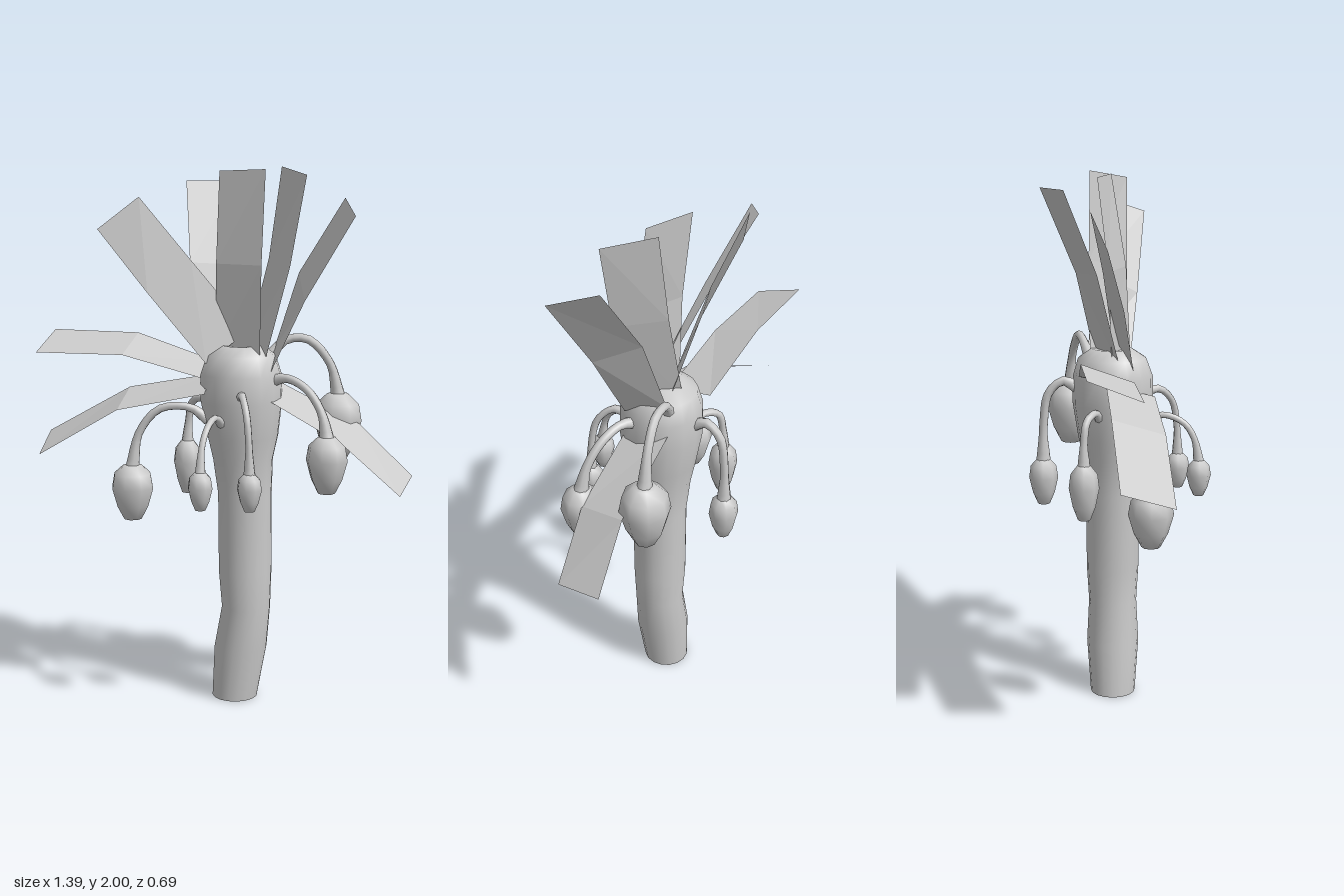
import * as THREE from 'three';
import { mergeVertices } from 'three/addons/utils/BufferGeometryUtils.js';

const grey = new THREE.MeshStandardMaterial({ color: 0xcccccc });
const thin = new THREE.MeshStandardMaterial({ color: 0xcccccc, side: THREE.DoubleSide, flatShading: true });
const v = (p) => new THREE.Vector3(...p);

function add(parent, name, geometry, material = grey) {
  const mesh = new THREE.Mesh(geometry, material);
  mesh.name = name;
  parent.add(mesh);
  return mesh;
}

// Weld the seam and smooth the normals
function smooth(geometry) {
  geometry.deleteAttribute('uv');
  geometry.deleteAttribute('normal');
  const welded = mergeVertices(geometry);
  welded.computeVertexNormals();
  return welded;
}

// Upright column whose horizontal rings follow rows of [y, centreX, centreZ, radius], top first
function column(rows, sides) {
  const g = new THREE.CylinderGeometry(1, 1, 1, sides, rows.length - 1, true);
  const pos = g.attributes.position;
  for (let i = 0; i < pos.count; i++) {
    const [y, cx, cz, r] = rows[Math.floor(i / (sides + 1))];
    pos.setXYZ(i, cx + pos.getX(i) * r, y, cz + pos.getZ(i) * r);
  }
  return smooth(g);
}

// Curved stalk, thicker at the trunk and flaring into the fruit
function stalk(points, size) {
  const curve = new THREE.CatmullRomCurve3(points.map(v));
  const steps = 14, sides = 8;
  const g = new THREE.TubeGeometry(curve, steps, 1, sides);
  const pos = g.attributes.position, p = new THREE.Vector3();
  for (let i = 0; i < pos.count; i++) {
    const u = Math.floor(i / (sides + 1)) / steps;
    const c = curve.getPointAt(u);
    const r = size * (1 + 0.5 * Math.max(0, 1 - u * 5) + 0.7 * Math.max(0, u * 4 - 3));
    p.fromBufferAttribute(pos, i).sub(c).multiplyScalar(r).add(c);
    pos.setXYZ(i, p.x, p.y, p.z);
  }
  return smooth(g);
}

// Hanging fruit, with its profile from bottom to top
function fruit(radius, height) {
  const profile = [[0, 0], [0.42, 0.01], [0.75, 0.25], [1, 0.58], [0.88, 0.83], [0.45, 0.98], [0, 1]];
  const points = profile.map(([r, y]) => new THREE.Vector2(r * radius, y * height));
  return smooth(new THREE.LatheGeometry(points, 8));
}

// Leaf strip from pairs of edge points: base, middle, tip
function strip(pairs) {
  const g = new THREE.BufferGeometry();
  g.setAttribute('position', new THREE.Float32BufferAttribute(pairs.flat(2), 3));
  const index = [];
  for (let i = 0; i < pairs.length - 1; i++) {
    const a = i * 2;
    index.push(a, a + 1, a + 3, a, a + 3, a + 2);
  }
  g.setIndex(index);
  g.computeVertexNormals();
  return g;
}

export function createModel() {
  const tree = new THREE.Group();
  tree.name = 'fruitTree';

  // Trunk with its swollen crown
  add(tree, 'trunk', column([
    [1.345, 0.085, -0.03, 0], [1.355, 0.085, -0.03, 0.075], [1.32, 0.082, -0.028, 0.127],
    [1.25, 0.082, -0.025, 0.15], [1.15, 0.084, -0.025, 0.152], [1.02, 0.09, -0.025, 0.132],
    [0.93, 0.09, -0.027, 0.112], [0.8, 0.098, -0.027, 0.101], [0.5, 0.1, -0.027, 0.1],
    [0.36, 0.104, -0.027, 0.092], [0.2, 0.083, -0.027, 0.1], [0, 0.06, -0.027, 0.086],
  ], 16));
  const base = add(tree, 'trunkBase', new THREE.CircleGeometry(0.086, 16));
  base.rotation.x = Math.PI / 2;
  base.position.set(0.06, 0, -0.027);

  // Leaves
  const leaves = new THREE.Group();
  leaves.name = 'leaves';
  tree.add(leaves);
  const leafData = {
    leafRightLevel: [[[-0.04, 1.27, -0.15], [-0.04, 1.23, 0.03]], [[-0.365, 1.375, -0.135], [-0.36, 1.31, 0.05]],
      [[-0.7, 1.38, -0.107], [-0.7, 1.31, 0.077]]],
    leafRightLow: [[[-0.04, 1.24, -0.05], [-0.01, 1.19, 0.13]], [[-0.36, 1.18, -0.03], [-0.34, 1.12, 0.16]],
      [[-0.68, 1, 0], [-0.645, 0.94, 0.185]]],
    leafLeftLow: [[[0.18, 1.22, -0.13], [0.18, 1.18, 0.05]], [[0.5, 1.06, -0.165], [0.48, 1.015, 0.03]],
      [[0.695, 0.865, -0.21], [0.685, 0.825, -0.022]]],
    leafRightHigh: [[[-0.03, 1.29, 0.05], [0.11, 1.41, -0.03]], [[-0.27, 1.54, 0.015], [-0.125, 1.66, -0.06]],
      [[-0.49, 1.77, -0.04], [-0.345, 1.89, -0.1]]],
    leafBack: [[[-0.02, 1.3, 0], [0.14, 1.3, -0.09]], [[-0.135, 1.65, -0.08], [0.035, 1.64, -0.16]],
      [[-0.188, 1.95, -0.195], [-0.015, 1.95, -0.285]]],
    leafCentre: [[[-0.02, 1.33, -0.03], [0.172, 1.33, 0.04]], [[-0.02, 1.65, -0.04], [0.172, 1.65, 0.025]],
      [[-0.02, 1.985, -0.08], [0.17, 1.99, -0.03]]],
    leafLeftSteep: [[[0.07, 1.31, -0.11], [0.19, 1.31, 0.03]], [[0.16, 1.67, -0.115], [0.28, 1.65, 0.03]],
      [[0.208, 2, -0.11], [0.338, 1.97, 0.03]]],
    leafLeftHigh: [[[0.18, 1.33, -0.12], [0.215, 1.27, 0.04]], [[0.28, 1.62, -0.095], [0.345, 1.53, 0.07]],
      [[0.455, 1.89, -0.065], [0.53, 1.83, 0.1]]],
  };
  for (const [name, pairs] of Object.entries(leafData)) add(leaves, name, strip(pairs), thin);

  // Fruits: radius, height, stalk thickness, then the stalk path from trunk to fruit top
  const fruitData = [
    [0.082, 0.21, 0.015, [[-0.03, 1.08, 0.03], [-0.09, 1.125, 0.05], [-0.2, 1.12, 0.08], [-0.275, 1.03, 0.1], [-0.3, 0.9, 0.11]]],
    [0.056, 0.21, 0.014, [[-0.02, 1.1, -0.07], [-0.08, 1.14, -0.09], [-0.14, 1.12, -0.12], [-0.16, 1.04, -0.13], [-0.165, 0.96, -0.13]]],
    [0.046, 0.14, 0.012, [[0.045, 1.08, 0.1], [0.04, 1.11, 0.16], [0.035, 1.08, 0.24], [0.03, 1.02, 0.28], [0.03, 0.93, 0.298]]],
    [0.046, 0.14, 0.013, [[0.12, 1.18, 0.1], [0.14, 1.19, 0.15], [0.17, 1.14, 0.2], [0.185, 1.05, 0.22], [0.19, 0.92, 0.225]]],
    [0.077, 0.21, 0.016, [[0.2, 1.23, 0], [0.27, 1.245, 0.02], [0.35, 1.21, 0.04], [0.41, 1.13, 0.06], [0.433, 1.04, 0.07]]],
    [0.092, 0.25, 0.016, [[0.16, 1.3, -0.11], [0.22, 1.365, -0.14], [0.3, 1.37, -0.16], [0.38, 1.28, -0.185], [0.41, 1.16, -0.195]]],
    [0.055, 0.18, 0.016, [[0.07, 1.21, -0.16], [0.065, 1.235, -0.21], [0.06, 1.19, -0.265], [0.06, 1.08, -0.285], [0.06, 0.93, -0.288]]],
  ];
  for (const [radius, height, thickness, path] of fruitData) {
    const hanging = new THREE.Group();
    hanging.name = 'hangingFruit';
    tree.add(hanging);
    add(hanging, 'stalk', stalk(path, thickness));
    const [x, y, z] = path[path.length - 1];
    add(hanging, 'fruit', fruit(radius, height)).position.set(x, y + 0.01 - height, z);
  }
  return tree;
}
